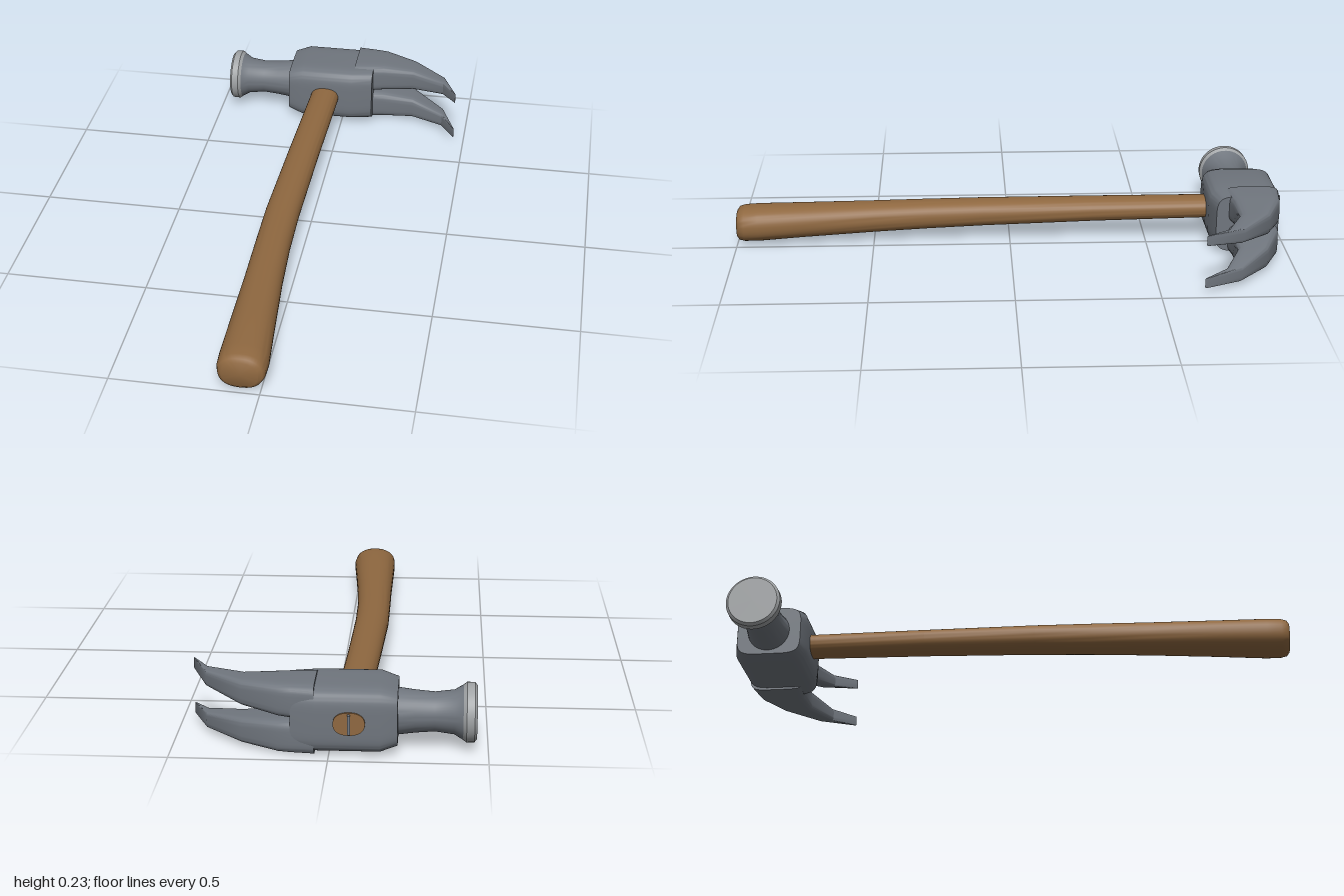
import * as THREE from 'three';
import { toCreasedNormals } from 'three/addons/utils/BufferGeometryUtils.js';

const steel = new THREE.MeshStandardMaterial({ name: 'steel', color: 0x70767e });
const polished = new THREE.MeshStandardMaterial({ name: 'polishedSteel', color: 0xa0a3a5 });
const wood = new THREE.MeshStandardMaterial({ name: 'wood', color: 0x8f6840 });
const CY = 0.115, CZ = -0.85;

// Capped loft of superellipse sections [position, minU, maxU, minV, maxV].
// Axis 'x' uses u = y, v = z; axis 'z' uses u = x, v = y.
function loft(axis, sections, power, crease, n = 40) {
  const pos = [], idx = [];
  const put = (t, u, v) => (axis === 'x' ? pos.push(t, u, v) : pos.push(u, v, t));
  const bend = (c) => Math.sign(c) * Math.pow(Math.abs(c), 2 / power);
  for (const [t, u0, u1, v0, v1] of sections) {
    for (let j = 0; j < n; j++) {
      const a = ((j + 0.5) / n) * Math.PI * 2;
      put(t, (u0 + u1) / 2 + bend(Math.cos(a)) * (u1 - u0) / 2,
        (v0 + v1) / 2 + bend(Math.sin(a)) * (v1 - v0) / 2);
    }
  }
  const last = sections.length - 1;
  for (let i = 0; i < last; i++) {
    for (let j = 0; j < n; j++) {
      const k = (j + 1) % n, a = i * n + j, b = i * n + k;
      idx.push(a, b, a + n, b, b + n, a + n);
    }
  }
  for (const i of [0, last]) {
    const [t, u0, u1, v0, v1] = sections[i], c = pos.length / 3;
    put(t, (u0 + u1) / 2, (v0 + v1) / 2);
    for (let j = 0; j < n; j++) {
      const a = i * n + j, b = i * n + (j + 1) % n;
      idx.push(c, ...(i ? [a, b] : [b, a]));
    }
  }
  const g = new THREE.BufferGeometry();
  g.setAttribute('position', new THREE.Float32BufferAttribute(pos, 3));
  g.setIndex(idx);
  return toCreasedNormals(g, crease);
}

// Round section along the head: profile points are [x, radius]
const turned = (profile) =>
  loft('x', profile.map(([x, r]) => [x, CY - r, CY + r, CZ - r, CZ + r]), 2, 0.6, 48);

export function createModel() {
  const model = new THREE.Group();
  const add = (name, geometry, material) => {
    const mesh = new THREE.Mesh(geometry, material);
    mesh.name = name;
    model.add(mesh);
    return mesh;
  };

  // Oval handle, swelling and bowing toward the grip, through the head
  add('handle', loft('z', [
    [-0.985, -0.115, -0.015, 0.08, 0.155],
    [-0.7, -0.122, -0.012, 0.075, 0.153],
    [-0.3, -0.137, -0.022, 0.062, 0.148],
    [0.1, -0.15, -0.028, 0.046, 0.143],
    [0.3, -0.149, -0.025, 0.038, 0.141],
    [0.5, -0.147, -0.015, 0.03, 0.139],
    [0.75, -0.147, 0.004, 0.019, 0.138],
    [0.92, -0.147, 0.018, 0.01, 0.138],
    [0.97, -0.145, 0.016, 0.01, 0.135],
    [0.99, -0.138, 0.009, 0.014, 0.13],
    [0.998, -0.125, -0.004, 0.024, 0.119],
  ], 2.3, 0.75), wood);

  // Wedge driven into the handle end
  const wedge = add('wedge', new THREE.BoxGeometry(0.009, 0.062, 0.04), steel);
  wedge.position.set(-0.065, 0.119, -0.98);

  // Head block with tapered ends
  add('headBlock', loft('x', [
    [-0.215, 0.026, 0.204, -0.963, -0.735],
    [-0.16, 0.008, 0.222, -0.979, -0.72],
    [0.04, 0.008, 0.222, -0.979, -0.72],
    [0.12, 0.01, 0.22, -0.962, -0.738],
  ], 5, 0.5, 64), steel);

  // Neck and striking face
  add('neck', turned([
    [-0.425, 0.09], [-0.415, 0.085], [-0.392, 0.071], [-0.33, 0.063], [-0.27, 0.068], [-0.2, 0.077],
  ]), steel);
  add('strikingFace', turned([
    [-0.463, 0.086], [-0.455, 0.095], [-0.43, 0.096], [-0.418, 0.086],
  ]), polished);

  // Mirrored claws: [x, inner y, outer y offsets from the middle, back z, front z]
  const claw = [
    [0.045, -0.004, 0.115, -0.972, -0.772],
    [0.12, 0.002, 0.115, -0.962, -0.782],
    [0.16, 0.006, 0.114, -0.955, -0.788],
    [0.28, 0.022, 0.105, -0.9, -0.79],
    [0.405, 0.046, 0.098, -0.79, -0.732],
    [0.461, 0.06, 0.097, -0.66, -0.652],
  ];
  for (const [name, s] of [['upperClaw', 1], ['lowerClaw', -1]]) {
    add(name, loft('x', claw.map(([x, i, o, z0, z1]) => [
      x, CY + Math.min(s * i, s * o), CY + Math.max(s * i, s * o), z0, z1,
    ]), 5, 0.5), steel);
  }
  return model;
}
